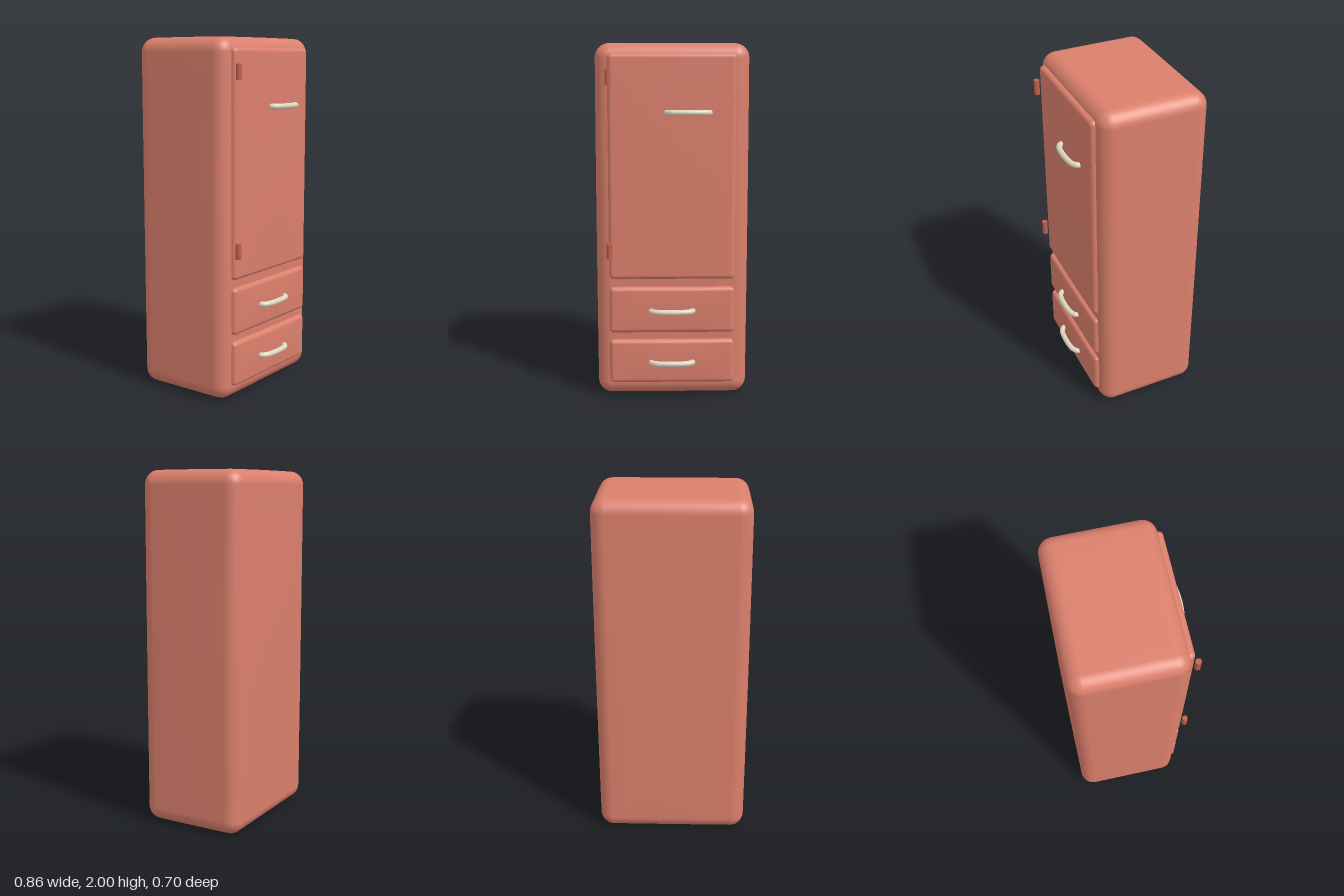
import * as THREE from 'three';
import { mergeVertices } from 'three/addons/utils/BufferGeometryUtils.js';

const paint = new THREE.MeshStandardMaterial({ color: 0xdb7f6c });
const hingePaint = new THREE.MeshStandardMaterial({ color: 0xc25f4d });
const cream = new THREE.MeshStandardMaterial({ color: 0xe0d6c0 });

// Rounded box whose faces swell slightly; bulge is the swell on x, y and z
function softBox(w, h, d, r, bulge) {
  const corner = 5, middle = 10, n = corner * 2 + middle;
  const half = [w / 2, h / 2, d / 2];
  // grid line -> coordinate, with fine spacing on the rounded edges
  const station = (i, a) => {
    const flat = half[a] - r;
    if (i < corner) return -flat - r * Math.tan((1 - i / corner) * Math.PI / 4);
    if (i > n - corner) return flat + r * Math.tan((1 - (n - i) / corner) * Math.PI / 4);
    return flat * (2 * (i - corner) / middle - 1);
  };
  let geo = new THREE.BoxGeometry(1, 1, 1, n, n, n);
  geo.deleteAttribute('uv');
  geo.deleteAttribute('normal');
  const pos = geo.attributes.position;
  for (let i = 0; i < pos.count; i++) {
    const p = [pos.getX(i), pos.getY(i), pos.getZ(i)].map((v, a) => station(Math.round((v + 0.5) * n), a));
    const core = p.map((v, a) => THREE.MathUtils.clamp(v, r - half[a], half[a] - r));
    const out = p.map((v, a) => v - core[a]);
    const len = Math.hypot(...out);
    const q = core.map((v, a) => v + out[a] * r / len);
    const swell = q.map((v, a) => 1 - (v / half[a]) ** 2);
    const s = q.map((v, a) => v + bulge[a] * (v / half[a]) * swell[(a + 1) % 3] * swell[(a + 2) % 3]);
    pos.setXYZ(i, ...s);
  }
  geo = mergeVertices(geo, 1e-5);
  geo.computeVertexNormals();
  return geo;
}

export function createModel() {
  const group = new THREE.Group();
  const add = (name, geo, mat, x, y, z) => {
    const mesh = new THREE.Mesh(geo, mat);
    mesh.name = name;
    mesh.position.set(x, y, z);
    group.add(mesh);
  };

  // Cabinet
  add('cabinetBody', softBox(0.85, 1.99, 0.61, 0.078, [0.005, 0.005, 0.005]), paint, 0, 1, -0.04);

  // Door and drawer fronts, given by bottom and top edge
  const panels = [['door', 0.69, 1.94], ['upperDrawer', 0.38, 0.645], ['lowerDrawer', 0.085, 0.34]];
  for (const [name, y0, y1] of panels) {
    add(name, softBox(0.706, y1 - y0, 0.07, 0.024, [0, 0, 0.007]), paint, -0.003, (y0 + y1) / 2, 0.256);
  }

  // Bowed bar handles
  const bow = new THREE.CatmullRomCurve3([
    [-0.118, 0.28], [-0.115, 0.305], [-0.09, 0.324], [-0.045, 0.332], [0, 0.334],
    [0.045, 0.332], [0.09, 0.324], [0.115, 0.305], [0.118, 0.28],
  ].map(([x, z]) => new THREE.Vector3(x, 0, z)));
  const handle = new THREE.TubeGeometry(bow, 40, 0.016, 12);
  add('doorHandle', handle, cream, 0.085, 1.62, 0);
  add('upperDrawerHandle', handle, cream, -0.003, 0.51, 0);
  add('lowerDrawerHandle', handle, cream, -0.003, 0.21, 0);

  // Hinge pins
  const pin = new THREE.CylinderGeometry(0.016, 0.016, 0.085, 20);
  add('upperHinge', pin, hingePaint, -0.35, 1.813, 0.31);
  add('lowerHinge', pin, hingePaint, -0.35, 0.857, 0.31);

  return group;
}
